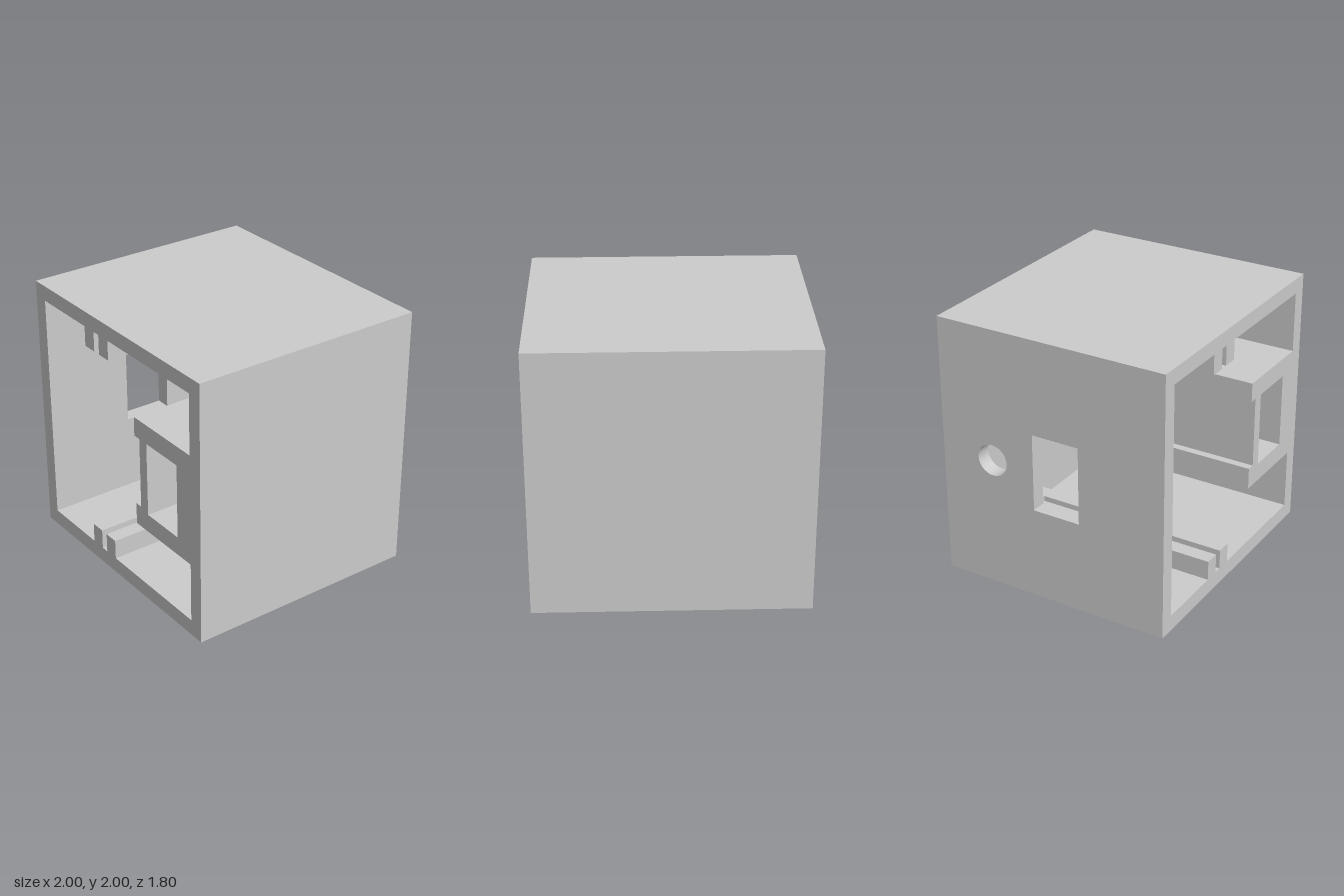
import * as THREE from 'three';

const material = new THREE.MeshStandardMaterial({ color: 0xcccccc, flatShading: true });

const BACK = -0.9, FRONT = 0.9;   // outer depth
const INNER_BACK = -0.78;         // inside face of the back wall
const SLOT_END = -0.62;           // where slots and the pocket stop
const IN = 0.885;                 // inner half width
const FLOOR = 0.12, CEIL = 1.885;

function add(parent, name, geometry) {
  const mesh = new THREE.Mesh(geometry, material);
  mesh.name = name;
  parent.add(mesh);
  return mesh;
}

// Box given by its limits
function block(parent, name, x0, x1, y0, y1, z0, z1) {
  const geometry = new THREE.BoxGeometry(x1 - x0, y1 - y0, z1 - z0);
  geometry.translate((x0 + x1) / 2, (y0 + y1) / 2, (z0 + z1) / 2);
  return add(parent, name, geometry);
}

function polygon(points, Type = THREE.Shape) {
  return new Type(points.map(([x, y]) => new THREE.Vector2(x, y)));
}

function rect(x0, x1, y0, y1, Type) {
  return polygon([[x0, y0], [x1, y0], [x1, y1], [x0, y1]], Type);
}

// Profile in the xy plane extruded between two depths
function extrudeZ(parent, name, shape, z0, z1) {
  const geometry = new THREE.ExtrudeGeometry(shape, { depth: z1 - z0, bevelEnabled: false });
  geometry.translate(0, 0, z0);
  return add(parent, name, geometry);
}

export function createModel() {
  const model = new THREE.Group();
  model.name = 'housing';

  // Outer shell, open at the front
  block(model, 'bottomWall', -IN, IN, 0, FLOOR, INNER_BACK, FRONT);
  block(model, 'topWall', -IN, IN, CEIL, 2, INNER_BACK, FRONT);
  block(model, 'solidSideWall', IN, 1, 0, 2, INNER_BACK, FRONT);
  block(model, 'backWall', -1, 1, 0, 2, BACK, INNER_BACK);

  // Side wall with a window and a round hole; shape x runs along z
  const side = rect(INNER_BACK, FRONT, 0, 2);
  side.holes.push(rect(-0.14, 0.23, 0.7, 1.29, THREE.Path));
  const hole = new THREE.Path();
  hole.absarc(-0.48, 1, 0.12, 0, Math.PI * 2);
  side.holes.push(hole);
  const sideGeometry = new THREE.ExtrudeGeometry(side, { depth: 1 - IN, bevelEnabled: false, curveSegments: 16 });
  sideGeometry.rotateY(-Math.PI / 2);
  sideGeometry.translate(-IN, 0, 0);
  add(model, 'piercedSideWall', sideGeometry);

  // Slotted guide rails on floor and ceiling
  for (const [name, y0, y1] of [['lowerRail', FLOOR, 0.27], ['upperRail', 1.735, CEIL]]) {
    const rail = new THREE.Group();
    rail.name = name;
    model.add(rail);
    block(rail, 'outerGuide', -0.355, -0.24, y0, y1, SLOT_END, FRONT);
    block(rail, 'innerGuide', -0.18, -0.065, y0, y1, SLOT_END, FRONT);
    block(rail, 'slotStop', -0.355, -0.065, y0, y1, INNER_BACK, SLOT_END);
  }

  // Hollow compartment with a shallow recess along its inner side
  const compartment = new THREE.Group();
  compartment.name = 'compartment';
  model.add(compartment);
  const body = polygon([
    [0.235, 0.58], [IN, 0.58], [IN, 1.43], [0.235, 1.43],
    [0.235, 1.285], [0.295, 1.285], [0.295, 0.745], [0.235, 0.745],
  ]);
  body.holes.push(rect(0.38, 0.735, 0.72, 1.285, THREE.Path));
  extrudeZ(compartment, 'compartmentBody', body, SLOT_END, FRONT);

  // Rear end of the compartment with a narrow pocket
  const end = rect(0.235, IN, 0.58, 1.43);
  end.holes.push(rect(0.38, 0.44, 0.77, 1.235, THREE.Path));
  extrudeZ(compartment, 'compartmentEnd', end, INNER_BACK, SLOT_END);

  return model;
}
